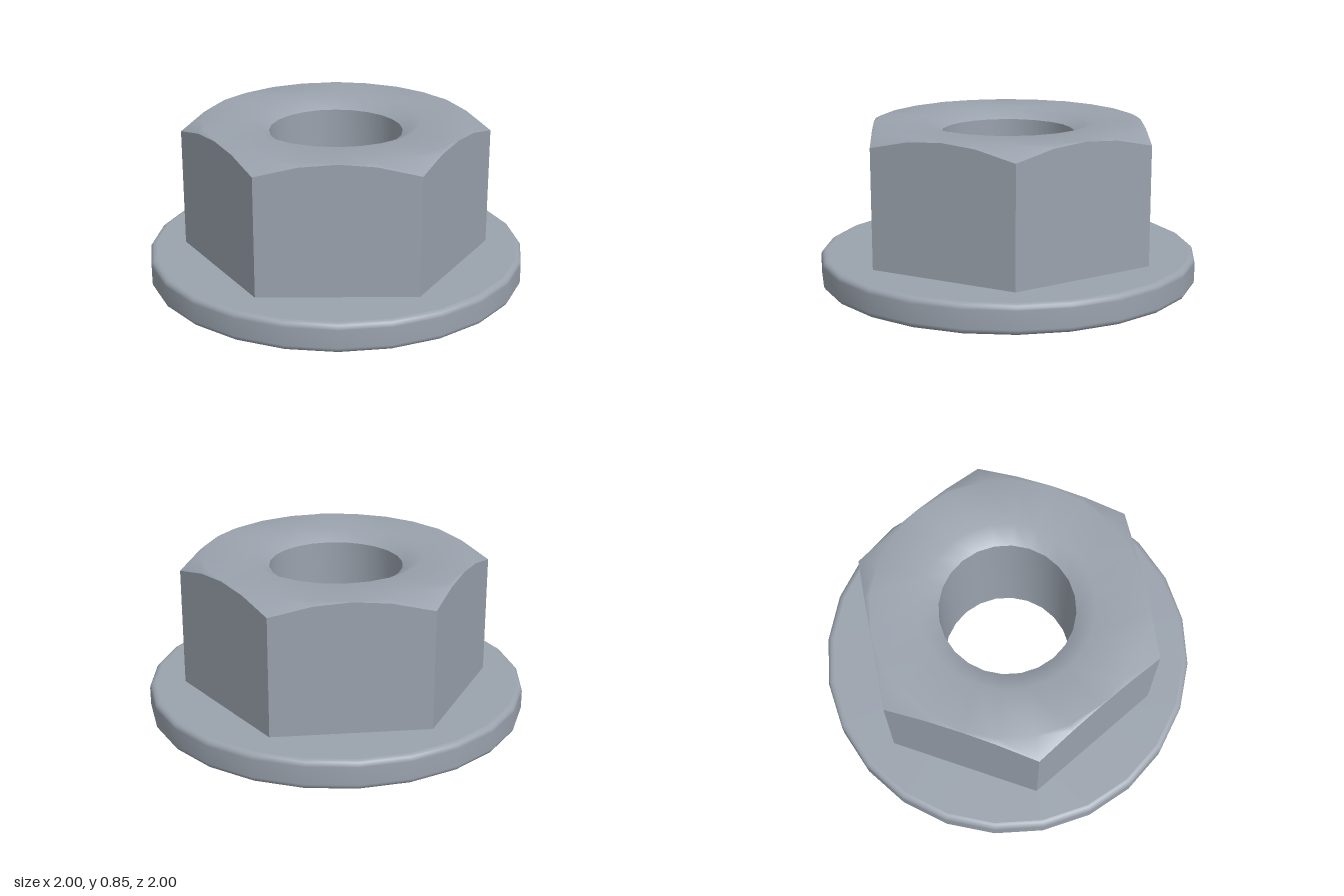
import * as THREE from 'three';

const SIDES = 24;
const START = THREE.MathUtils.degToRad(12); // a hex corner sits at this angle
const FLAT = 0.702;    // hex centre to flat
const TOP = 0.845;
const FLANGE = 0.155;  // flange thickness
const BORE = 0.35, SINK = 0.447;
const SLOPE = Math.tan(Math.PI / 6); // all chamfers are 30 degrees
const SINK_DEPTH = (SINK - BORE) * SLOPE;

// Distance from the axis to the hexagon at step i
const hexRadius = (i) => FLAT / Math.cos(((i % 4) * 15 - 30) * Math.PI / 180);
const chamferY = (i) => TOP - (hexRadius(i) - FLAT) * SLOPE;

// Joins closed rings; each ring is [radius, y], either a number or a function of the step
function loft(rings, faceted = false) {
  const pos = [], index = [];
  const at = (v, i) => (typeof v === 'function' ? v(i) : v);
  for (const [r, y] of rings) {
    for (let i = 0; i < SIDES; i++) {
      const a = START + (i / SIDES) * Math.PI * 2;
      pos.push(at(r, i) * Math.cos(a), at(y, i), at(r, i) * Math.sin(a));
    }
  }
  for (let k = 0; k < rings.length - 1; k++) {
    for (let i = 0; i < SIDES; i++) {
      const j = (i + 1) % SIDES;
      const a = k * SIDES + i, b = k * SIDES + j;
      index.push(a, a + SIDES, b + SIDES, a, b + SIDES, b);
    }
  }
  let geo = new THREE.BufferGeometry();
  geo.setAttribute('position', new THREE.Float32BufferAttribute(pos, 3));
  geo.setIndex(index);
  if (faceted) geo = geo.toNonIndexed();
  geo.computeVertexNormals();
  return geo;
}

export function createModel() {
  const group = new THREE.Group();
  group.name = 'flangeNut';
  const steel = new THREE.MeshStandardMaterial({ color: 0x9aa2ad });
  steel.name = 'steel';
  const add = (name, geo) => {
    const mesh = new THREE.Mesh(geo, steel);
    mesh.name = name;
    group.add(mesh);
  };

  // Washer flange: flat underside, rounded rim, flat upper face
  const f = 0.03, rim = [];
  for (let s = 0; s <= 4; s++) {
    const t = (s / 4) * Math.PI / 2;
    rim.push([1 - f + f * Math.sin(t), f - f * Math.cos(t)]);
  }
  for (let s = 0; s <= 4; s++) {
    const t = (s / 4) * Math.PI / 2;
    rim.push([1 - f + f * Math.cos(t), FLANGE - f + f * Math.sin(t)]);
  }
  add('flangeUnderside', loft([[SINK, 0], [1 - f, 0]]));
  add('flangeRim', loft(rim));
  add('flangeTop', loft([[1 - f, FLANGE], [0.6, FLANGE]]));

  // Six wrench flats with arched upper edges
  add('hexSides', loft([[hexRadius, FLANGE - 0.005], [hexRadius, chamferY]], true));

  // Chamfered crown running softly into the upper countersink
  add('crown', loft([
    [hexRadius, chamferY], [FLAT - 0.005, TOP], [SINK, TOP], [BORE, TOP - SINK_DEPTH],
  ]));

  // Through hole and lower countersink
  add('bore', loft([[BORE, TOP - SINK_DEPTH], [BORE, SINK_DEPTH]]));
  add('lowerCountersink', loft([[BORE, SINK_DEPTH], [SINK, 0]]));

  return group;
}
